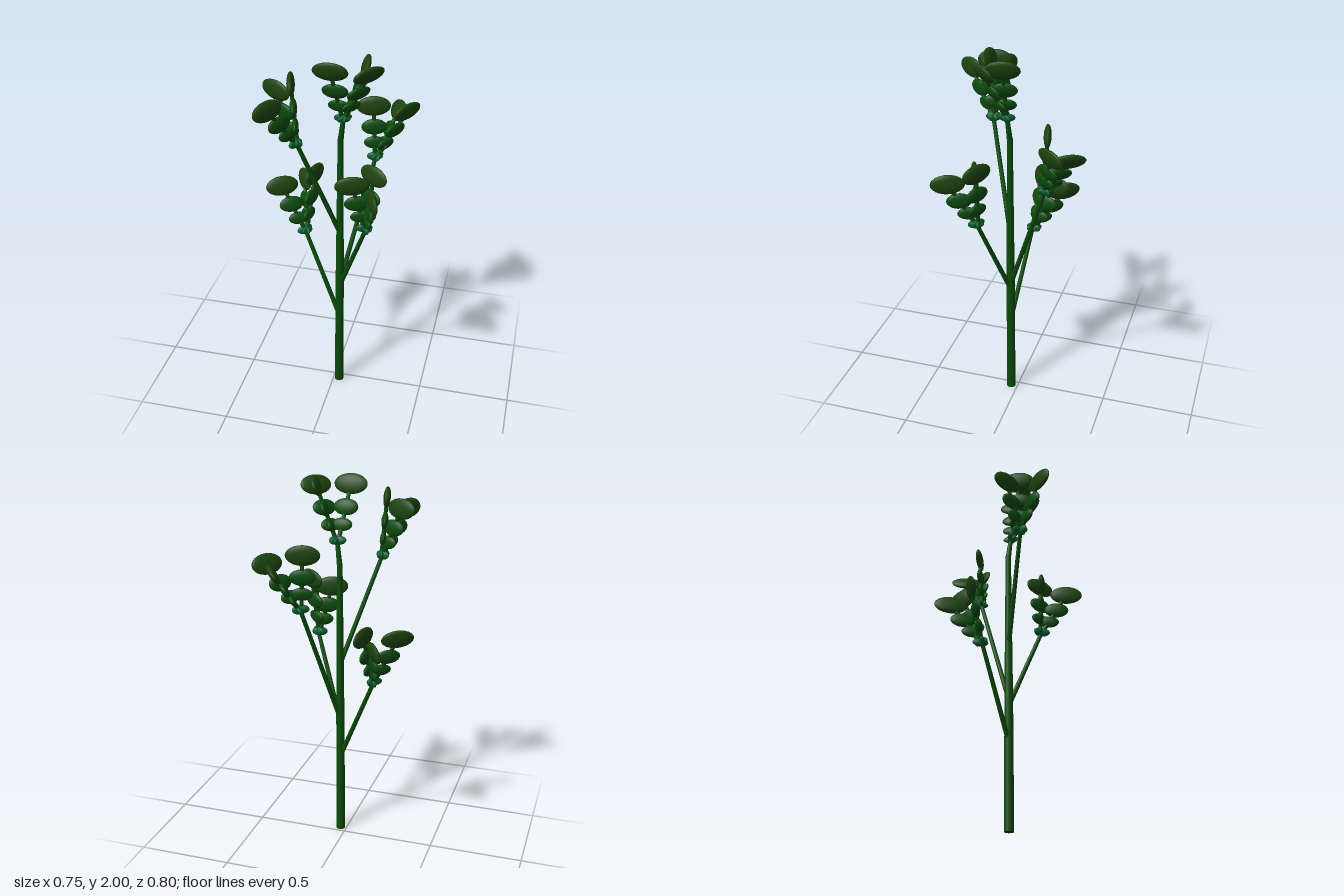
import * as THREE from 'three';

const V = (x, y, z) => new THREE.Vector3(x, y, z);
const UP = V(0, 1, 0);

const stemMat = new THREE.MeshStandardMaterial({ color: 0x0a4a0a });
const budMat = new THREE.MeshStandardMaterial({ color: 0x0a5c2c });
const leafMat = new THREE.MeshStandardMaterial({ color: 0x0c4a0e });
const tipMat = new THREE.MeshStandardMaterial({ color: 0x1c440e });
const padGeo = new THREE.SphereGeometry(1, 20, 12);

// Pads along each chain: position, half width, half height, half thickness
const PADS = [
  { name: 'budLeaf', t: 0.07, size: [0.042, 0.024, 0.014], mat: budMat },
  { name: 'lowerLeaf', t: 0.33, size: [0.055, 0.034, 0.016], mat: leafMat },
  { name: 'middleLeaf', t: 0.62, size: [0.066, 0.043, 0.018], mat: leafMat },
  { name: 'tipLeaf', t: 1, size: [0.088, 0.053, 0.019], mat: tipMat },
];

// Sprigs: foot on the stem, top of the branch, three leaf chains [x, y, z, turn in degrees]
const SPRIGS = [
  { name: 'topSprig', foot: [0.036, 1.54, 0.037], top: [0.05, 1.65, 0.045], r: [0.015, 0.012],
    tips: [[0.01, 1.945, 0.145, 0], [0.158, 1.945, 0.035, 78], [0.19, 1.935, 0.12, -48]] },
  { name: 'backSprig', foot: [0.037, 0.69, 0.037], top: [0.17, 1.34, -0.18],
    tips: [[0.155, 1.64, -0.19, -15], [0.262, 1.57, -0.32, 63], [0.32, 1.6, -0.25, -54]] },
  { name: 'lowSprig', foot: [0.032, 0.46, 0.037], top: [-0.165, 0.93, -0.025],
    tips: [[-0.297, 1.2, -0.035, -32], [-0.215, 1.17, -0.188, 56], [-0.148, 1.23, -0.15, -74]] },
  { name: 'highSprig', foot: [0.035, 1.0, 0.037], top: [-0.145, 1.56, 0.18],
    tips: [[-0.255, 1.83, 0.15, 27], [-0.245, 1.8, 0.33, -57], [-0.172, 1.88, 0.178, 77]] },
  { name: 'frontSprig', foot: [0.033, 0.66, 0.037], top: [0.195, 1.11, 0.16],
    tips: [[0.255, 1.36, 0.295, 67], [0.132, 1.38, 0.195, -18], [0.23, 1.425, 0.15, 33]] },
];

// Tapered rod between two points
function rod(name, a, b, r0, r1, mat = stemMat, sides = 12) {
  const dir = b.clone().sub(a);
  const mesh = new THREE.Mesh(new THREE.CylinderGeometry(r1, r0, dir.length(), sides), mat);
  mesh.position.copy(a).addScaledVector(dir, 0.5);
  mesh.quaternion.setFromUnitVectors(UP, dir.normalize());
  mesh.name = name;
  return mesh;
}

// Chain of flattened oval leaves growing out of each other
function leafChain(base, [x, y, z, degrees]) {
  const chain = new THREE.Group();
  chain.name = 'leafChain';
  const tip = V(x, y, z);
  const angle = THREE.MathUtils.degToRad(degrees);
  const side = V(Math.cos(angle), 0, Math.sin(angle));
  const dir = tip.clone().sub(base).normalize();
  const up = dir.clone().addScaledVector(side, -dir.dot(side)).normalize();
  const basis = new THREE.Matrix4().makeBasis(side, up, side.clone().cross(up));
  for (const p of PADS) {
    const leaf = new THREE.Mesh(padGeo, p.mat);
    leaf.name = p.name;
    leaf.position.lerpVectors(base, tip, p.t);
    leaf.quaternion.setFromRotationMatrix(basis);
    leaf.scale.set(...p.size);
    chain.add(leaf);
  }
  chain.add(rod('leafStalk', base, tip, 0.012, 0.01, leafMat, 8));
  return chain;
}

export function createModel() {
  const plant = new THREE.Group();
  plant.name = 'plant';

  // Main stem
  plant.add(rod('lowerStem', V(0.032, 0, 0.037), V(0.034, 0.7, 0.037), 0.025, 0.023));
  plant.add(rod('upperStem', V(0.034, 0.7, 0.037), V(0.036, 1.55, 0.037), 0.023, 0.015));

  // Branches with their leaves
  for (const s of SPRIGS) {
    const sprig = new THREE.Group();
    sprig.name = s.name;
    const top = V(...s.top);
    const [r0, r1] = s.r ?? [0.013, 0.011];
    sprig.add(rod('branch', V(...s.foot), top, r0, r1));
    for (const t of s.tips) sprig.add(leafChain(top, t));
    plant.add(sprig);
  }
  return plant;
}
